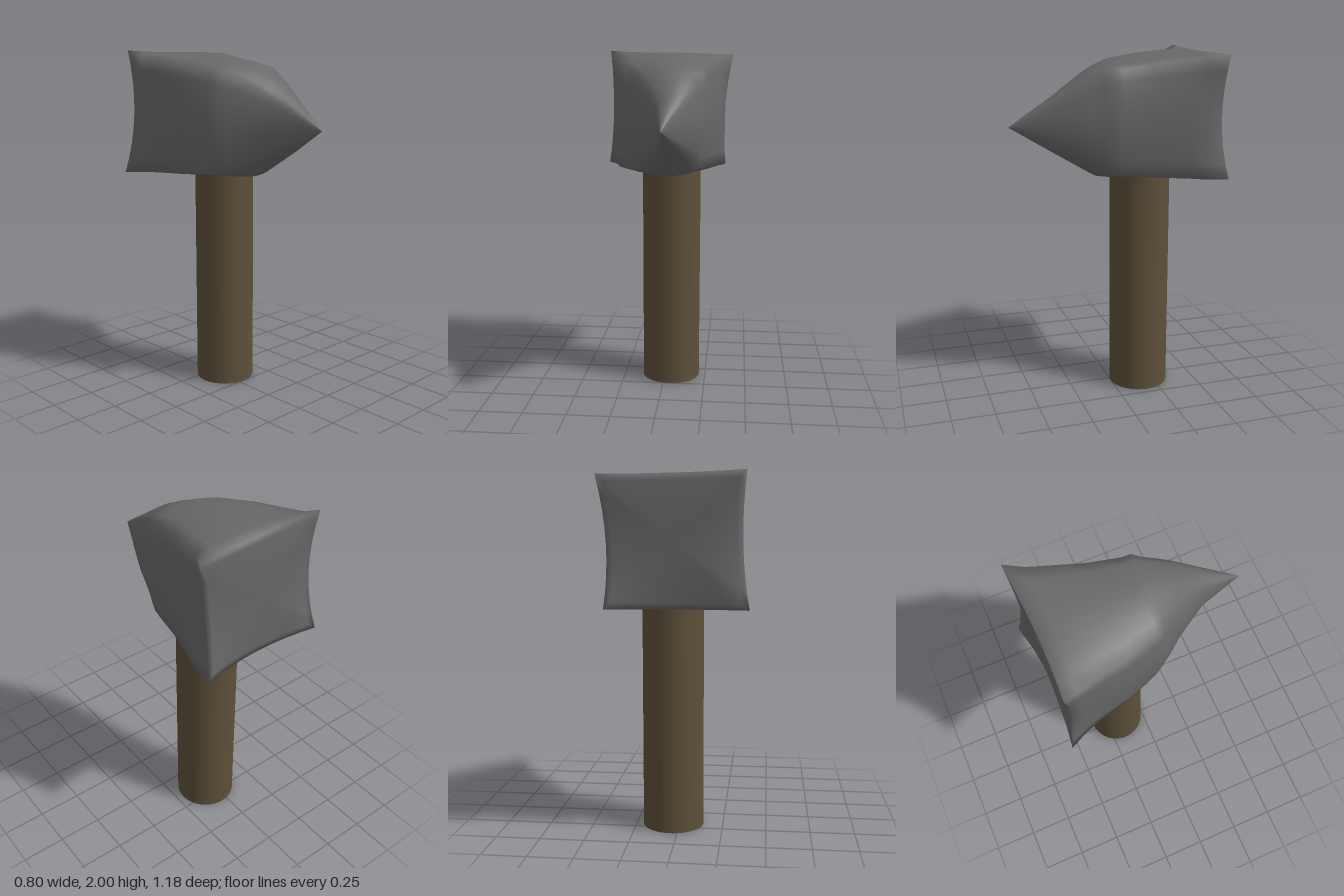
import * as THREE from 'three';

const STEPS = 8; // points along each of the four edges of a section

// flared back corners: lower right, upper right, upper left, lower left
const BACK_CORNERS = [[0.355, 1.29, -0.59], [0.395, 1.98, -0.56], [-0.38, 2.0, -0.537], [-0.4, 1.29, -0.567]];
// middles of the back edges: right, top, left, bottom
const BACK_MIDDLES = [[0.345, 1.63, -0.54], [-0.01, 1.985, -0.53], [-0.362, 1.64, -0.515], [-0.01, 1.29, -0.535]];

// head sections: z, left x, right x, bottom y, top y, then corner reach sideways, upward and downward
const SECTIONS = [
  [-0.46, -0.354, 0.349, 1.29, 1.99, 0.985, 0.94, 0.985],
  [-0.36, -0.338, 0.335, 1.29, 1.99, 0.94, 0.905, 0.965],
  [-0.18, -0.31, 0.3, 1.29, 1.975, 0.89, 0.87, 0.945],
  [0, -0.25, 0.278, 1.29, 1.95, 0.85, 0.85, 0.9],
  [0.05, -0.222, 0.276, 1.29, 1.935, 0.82, 0.83, 0.87],
  [0.1, -0.188, 0.252, 1.295, 1.915, 0.8, 0.81, 0.83],
  [0.17, -0.135, 0.23, 1.335, 1.88, 0.78, 0.79, 0.78],
  [0.24, -0.092, 0.207, 1.378, 1.832, 0.77, 0.78, 0.76],
  [0.36, -0.02, 0.15, 1.45, 1.748, 0.76, 0.76, 0.75],
  [0.48, 0.01, 0.092, 1.523, 1.667, 0.75, 0.75, 0.75],
  [0.59, 0.04, 0.04, 1.59, 1.59, 0.75, 0.75, 0.75],
];

const vector = (p) => new THREE.Vector3(...p);

// closed ring: four corners joined by curves through the edge middles
function ring(corners, middles) {
  const points = [];
  for (let e = 0; e < 4; e++) {
    const a = vector(corners[e]), b = vector(corners[(e + 1) % 4]);
    const control = vector(middles[e]).multiplyScalar(2).addScaledVector(a, -0.5).addScaledVector(b, -0.5);
    const curve = new THREE.QuadraticBezierCurve3(a, control, b);
    for (let s = 0; s < STEPS; s++) points.push(curve.getPoint(s / STEPS));
  }
  return points;
}

function sectionRing([z, xl, xr, yb, yt, side, up, down]) {
  const cx = (xl + xr) / 2, cy = (yb + yt) / 2, hx = (xr - xl) / 2, hy = (yt - yb) / 2;
  const corners = [[1, -1], [1, 1], [-1, 1], [-1, -1]].map(([sx, sy]) => {
    // the upper right corner forms a firmer ridge toward the tip
    const firm = sx > 0 && sy > 0 && z > 0 ? 1.05 : 1;
    return [cx + sx * hx * side * firm, cy + sy * hy * (sy > 0 ? up : down) * firm, z];
  });
  return ring(corners, [[xr, cy, z], [cx, yt, z], [xl, cy, z], [cx, yb, z]]);
}

// joins closed rings, running from back to front
function loft(rings) {
  const n = rings[0].length, index = [];
  for (let i = 0; i < rings.length - 1; i++) {
    for (let j = 0; j < n; j++) {
      const k = (j + 1) % n;
      const a = i * n + j, b = i * n + k, c = a + n, d = b + n;
      index.push(a, b, d, a, d, c);
    }
  }
  const geometry = new THREE.BufferGeometry().setFromPoints(rings.flat());
  geometry.setIndex(index);
  geometry.computeVertexNormals();
  return geometry;
}

export function createModel() {
  const stone = new THREE.MeshStandardMaterial({ color: 0x686868 });
  stone.name = 'grey stone';
  const wood = new THREE.MeshStandardMaterial({ color: 0x5c5039 });
  wood.name = 'dark wood';
  const cutWood = new THREE.MeshStandardMaterial({ color: 0x8a6248 });
  cutWood.name = 'cut wood';

  const model = new THREE.Group();
  model.name = 'stoneHammer';
  const add = (name, geometry, material) => {
    const mesh = new THREE.Mesh(geometry, material);
    mesh.name = name;
    model.add(mesh);
    return mesh;
  };

  // stone head: cushion-shaped back flowing into a pointed front
  const rim = ring(BACK_CORNERS, BACK_MIDDLES);
  const centre = vector([0, 1.64, -0.545]);
  const backRings = [0.002, 0.3, 0.55, 0.75, 0.9, 1].map((s) => rim.map((p) => new THREE.Vector3(
    centre.x + (p.x - centre.x) * s,
    centre.y + (p.y - centre.y) * s,
    centre.z + (p.z - centre.z) * s ** 3)));
  add('head', loft([...backRings, ...SECTIONS.map(sectionRing)]), stone);

  // straight handle: side, hidden top, cut end underneath
  const handle = add('handle', new THREE.CylinderGeometry(0.174, 0.174, 1.36, 40), [wood, wood, cutWood]);
  handle.position.set(0.038, 0.68, -0.172);

  return model;
}
